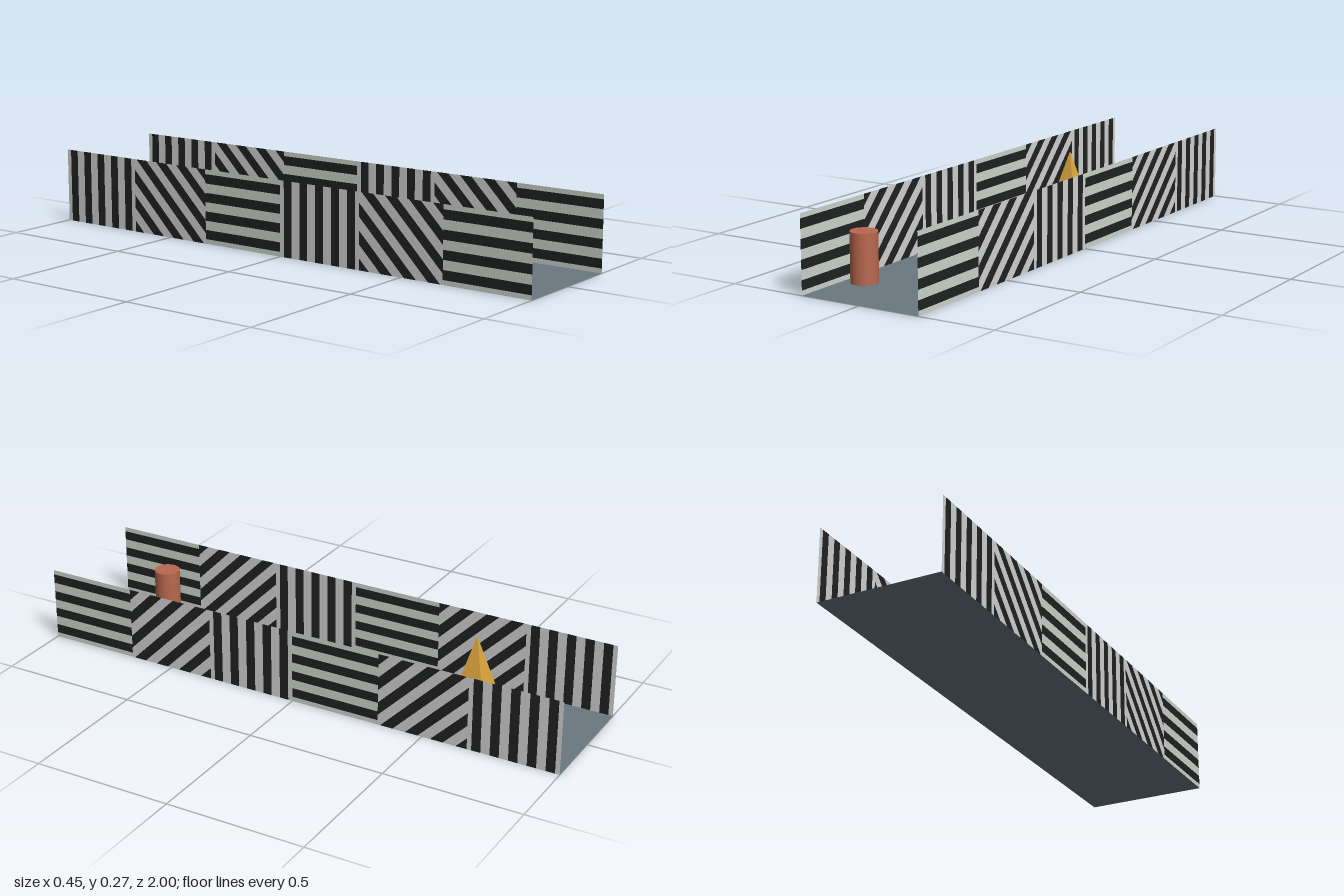
import * as THREE from 'three';
import { mergeGeometries } from 'three/addons/utils/BufferGeometryUtils.js';

const HALF_W = 0.224, WALL_H = 0.267, PANEL = 1 / 3, PERIOD = 1 / 15;

function makeMaterial(name, color, side = THREE.FrontSide) {
  const m = new THREE.MeshStandardMaterial({ color, side });
  m.name = name;
  return m;
}

// Keep the part of a convex polygon where dot(point, dir) * sign >= limit * sign
function clip(poly, dir, limit, sign) {
  const out = [];
  poly.forEach((a, i) => {
    const b = poly[(i + 1) % poly.length];
    const da = (a.dot(dir) - limit) * sign, db = (b.dot(dir) - limit) * sign;
    if (da >= 0) out.push(a);
    if (da * db < 0) out.push(a.clone().lerp(b, da / (da - db)));
  });
  return out;
}

// Cut one wall panel into alternating dark and light bands across a direction
function stripePanel(u0, dir, phase, dark, light) {
  const rect = [[0, 0], [PANEL, 0], [PANEL, WALL_H], [0, WALL_H]]
    .map(([x, y]) => new THREE.Vector2(x, y));
  for (let k = -20; k <= 20; k++) {
    const start = phase + (k / 2 - 0.25) * PERIOD;
    const band = clip(clip(rect, dir, start, 1), dir, start + PERIOD / 2, -1);
    if (band.length < 3 || Math.abs(THREE.ShapeUtils.area(band)) < 1e-7) continue;
    const geo = new THREE.ShapeGeometry(new THREE.Shape(band));
    geo.translate(u0, 0, 0).rotateY(Math.PI / 2);
    (k % 2 === 0 ? dark : light).push(geo);
  }
}

export function createModel() {
  const model = new THREE.Group();
  model.name = 'stripedCorridor';

  const floorMat = makeMaterial('slateGrey', 0x6a7880, THREE.DoubleSide);
  const darkMat = makeMaterial('stripeBlack', 0x202221, THREE.DoubleSide);
  const lightMat = makeMaterial('stripeLightGrey', 0xd3d3d3, THREE.DoubleSide);
  const paleMat = makeMaterial('stripePaleGreen', 0xcdd4cd, THREE.DoubleSide);
  const clayMat = makeMaterial('clayRed', 0xb9684f);
  const tealMat = makeMaterial('teal', 0x227589);
  const ochreMat = makeMaterial('ochre', 0xd9a33c);
  ochreMat.flatShading = true;

  const add = (parent, name, geo, mat, x = 0, y = 0, z = 0) => {
    const mesh = new THREE.Mesh(geo, mat);
    mesh.name = name;
    mesh.position.set(x, y, z);
    parent.add(mesh);
  };

  // Floor sheet
  add(model, 'floor', new THREE.PlaneGeometry(2 * HALF_W, 2).rotateX(-Math.PI / 2), floorMat);

  // Wall bands: horizontal, diagonal, vertical, repeated twice from the front
  const dark = [], light = [], pale = [];
  const diagonal = new THREE.Vector2(1, -1).normalize();
  const centre = new THREE.Vector2(PANEL / 2, WALL_H / 2);
  for (let i = 0; i < 6; i++) {
    const u0 = -1 + i * PANEL;
    if (i % 3 === 0) stripePanel(u0, new THREE.Vector2(0, 1), PERIOD / 2, dark, pale);
    else if (i % 3 === 1) stripePanel(u0, diagonal, centre.dot(diagonal), dark, light);
    else stripePanel(u0, new THREE.Vector2(1, 0), PERIOD / 2, dark, light);
  }
  const bands = [
    ['darkStripes', mergeGeometries(dark), darkMat],
    ['lightStripes', mergeGeometries(light), lightMat],
    ['paleStripes', mergeGeometries(pale), paleMat],
  ];
  for (const [name, x] of [['leftWall', HALF_W], ['rightWall', -HALF_W]]) {
    const wall = new THREE.Group();
    wall.name = name;
    wall.position.x = x;
    bands.forEach(([n, geo, mat]) => add(wall, n, geo, mat));
    model.add(wall);
  }

  // Obstacles standing just above the floor sheet
  const lift = 0.0008;
  add(model, 'cylinder', new THREE.CylinderGeometry(0.0465, 0.0465, 0.172, 32), clayMat,
    -0.153, 0.086 + lift, 0.765);
  add(model, 'cube', new THREE.BoxGeometry(0.108, 0.108, 0.108), tealMat,
    0.147, 0.054 + lift, 0.148);
  const pyramid = new THREE.ConeGeometry(0.115 / Math.SQRT2, 0.218, 4).rotateY(Math.PI / 4);
  add(model, 'pyramid', pyramid, ochreMat, -0.146, 0.109 + lift, -0.519);

  return model;
}
